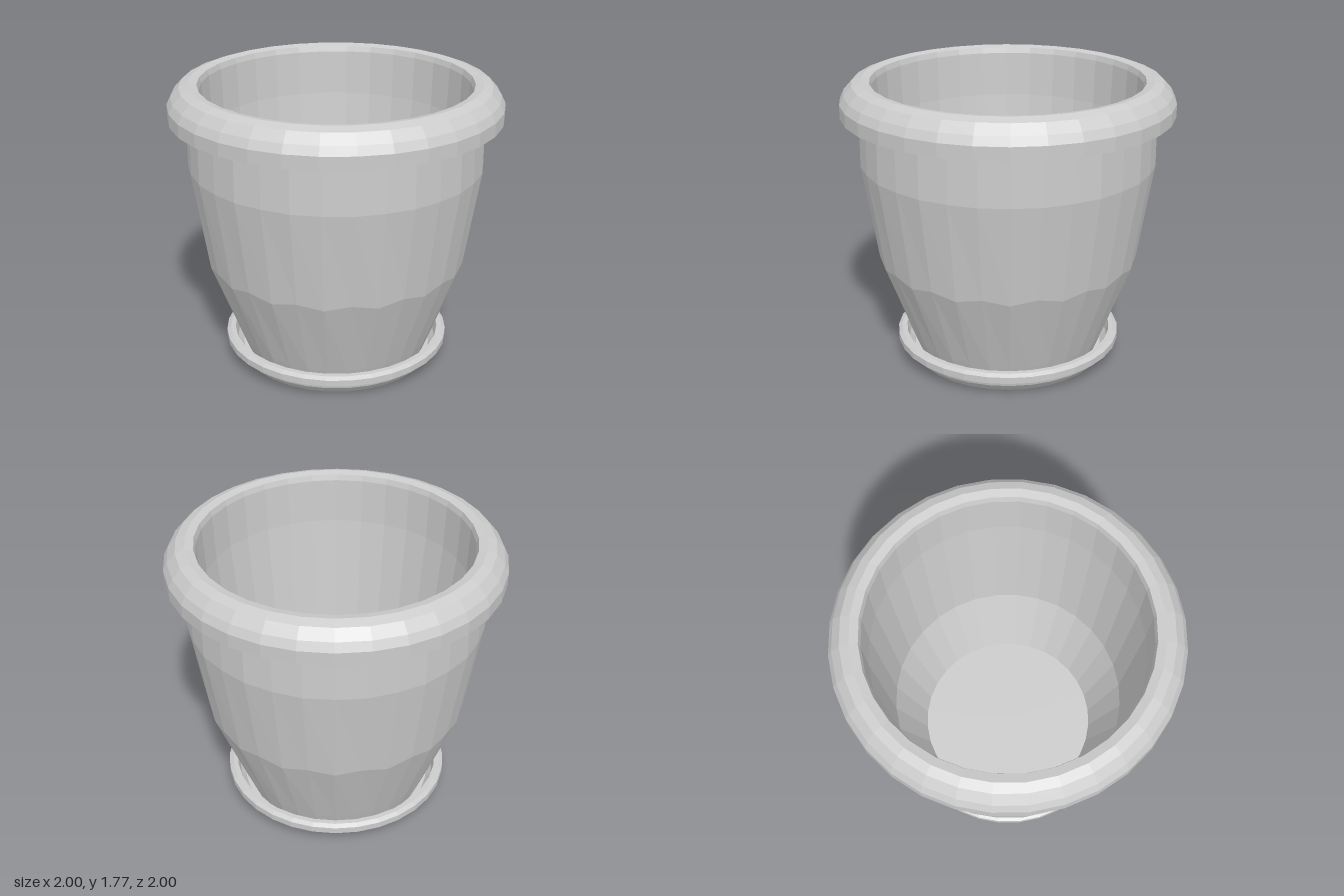
import * as THREE from 'three';

const SIDES = 32;

export function createModel() {
  const group = new THREE.Group();
  const material = new THREE.MeshStandardMaterial({
    color: 0xcccccc, flatShading: true, side: THREE.DoubleSide,
  });

  // Revolve a profile of [radius, height] points
  function turned(name, profile) {
    const points = profile.map(([r, y]) => new THREE.Vector2(r, y));
    const mesh = new THREE.Mesh(new THREE.LatheGeometry(points, SIDES), material);
    mesh.name = name;
    group.add(mesh);
    return mesh;
  }

  // Outer wall: every second column is pushed out to make sixteen flat panels
  const wall = [[0, 0.04], [0.57, 0.04], [0.612, 0.15], [0.8, 0.65], [0.89, 1.27], [0.885, 1.72]];
  const body = turned('potBody', wall);
  const pos = body.geometry.attributes.position;
  const corner = 1 / Math.cos(Math.PI / SIDES);
  const kink = 3;
  for (let i = 1; i < SIDES; i += 2) {
    for (let j = 1; j < wall.length; j++) {
      const k = i * wall.length + j;
      pos.setX(k, pos.getX(k) * corner);
      pos.setZ(k, pos.getZ(k) * corner);
      if (j === kink) pos.setY(k, pos.getY(k) + 0.03);
    }
  }
  body.geometry.computeVertexNormals();

  // Rounded rim with a hollow overhanging skirt
  turned('potRim', [
    [0.87, 1.72], [0.93, 1.69], [0.97, 1.64], [0.97, 1.57],
    [1, 1.57], [1, 1.65], [0.975, 1.7], [0.925, 1.755], [0.87, 1.775],
    [0.82, 1.765], [0.81, 1.73],
  ]);

  // Inner wall and floor
  turned('potInterior', [[0.81, 1.73], [0.8, 1.45], [0.72, 0.65], [0.55, 0.2], [0, 0.2]]);

  // Saucer with a stepped lip
  turned('saucer', [
    [0, 0], [0.61, 0], [0.66, 0.055], [0.67, 0.095],
    [0.705, 0.095], [0.705, 0.135], [0.68, 0.15], [0.65, 0.15],
    [0.635, 0.08], [0.6, 0.035], [0, 0.035],
  ]);

  return group;
}
